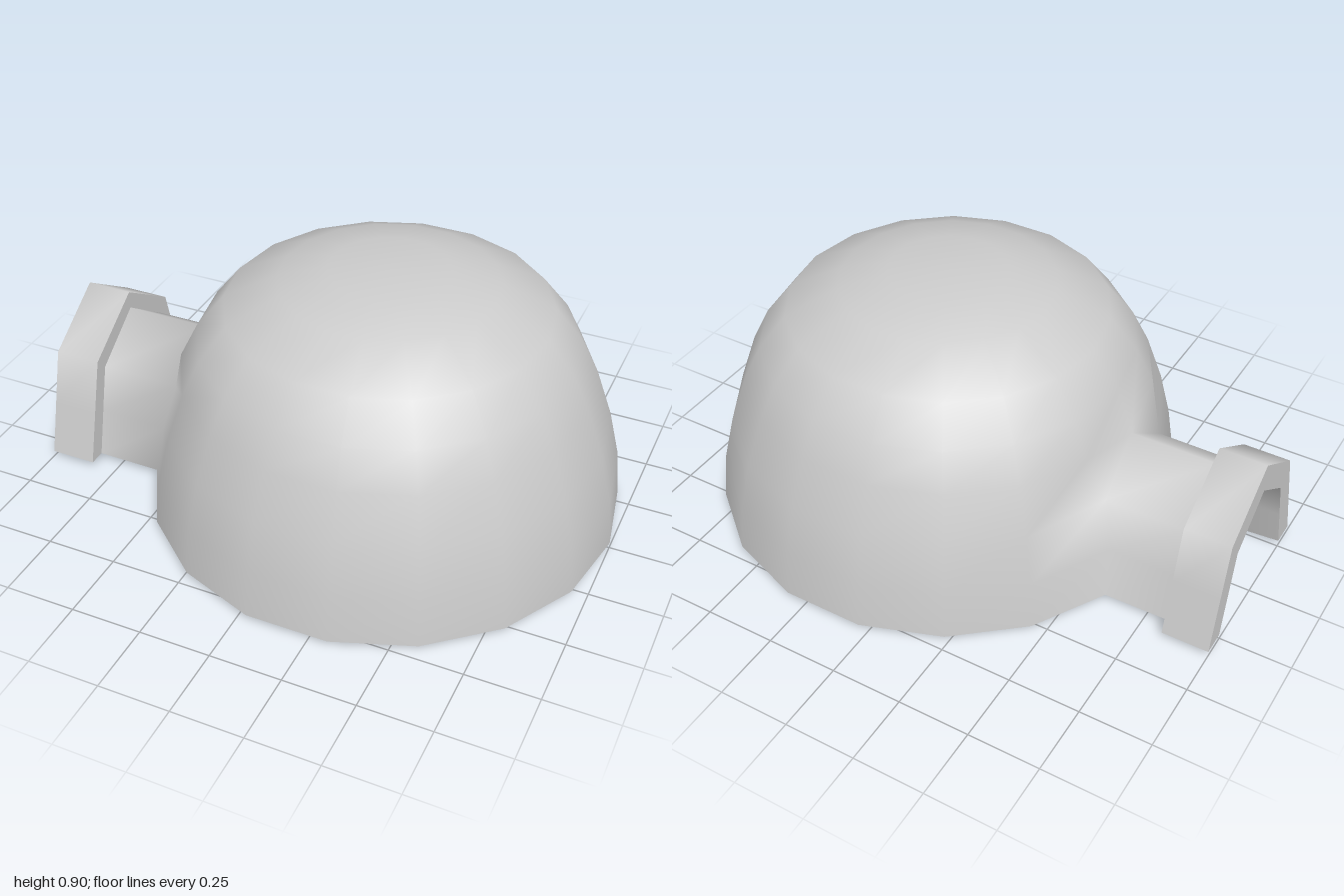
import * as THREE from 'three';
import { mergeGeometries } from 'three/addons/utils/BufferGeometryUtils.js';

const SIDES = 18, CENTRE_X = 0.175, BASE = 0.02;
const material = new THREE.MeshStandardMaterial({ color: 0xcccccc, side: THREE.DoubleSide });

function build(points, index) {
  const g = new THREE.BufferGeometry();
  g.setAttribute('position', new THREE.Float32BufferAttribute(points.flat(), 3));
  g.setIndex(index);
  g.computeVertexNormals();
  return g;
}

// Seven points of a faceted elliptical arch, from the +z foot over the top to the -z foot
function arch(x, halfWidth, height, base = BASE) {
  const z = halfWidth * Math.SQRT1_2, y = height * Math.SQRT1_2;
  const side = [[halfWidth, 0], [(halfWidth + z) / 2, y / 2], [z, y]];
  const right = side.map(([a, b]) => [-a, b]).reverse();
  return [...side, [0, height], ...right].map(([a, b]) => [x, base + b, a]);
}

// Surface between two rows of points
function strip(a, b) {
  const n = a.length, index = [];
  for (let j = 0; j < n - 1; j++) index.push(j, j + 1, n + j, j + 1, n + j + 1, n + j);
  return build([...a, ...b], index);
}

// Dome with an arched doorway towards -x, running smoothly into a passage
function domeWithPassage(profile, doorHeight, endArch) {
  const points = [], index = [];
  const at = (ring, i) => ring * SIDES + (i % SIDES);
  for (const [r, y] of profile) {
    for (let i = 0; i < SIDES; i++) {
      const t = (i / SIDES) * Math.PI * 2;
      points.push([CENTRE_X + r * Math.cos(t), y, r * Math.sin(t)]);
    }
  }

  // Pull the vertices around the doorway onto its arch
  const mid = SIDES / 2;
  const door = [at(0, mid - 1), at(1, mid - 1), at(2, mid - 1), at(3, mid),
    at(2, mid + 1), at(1, mid + 1), at(0, mid + 1)];
  const doorArch = arch(0, points[door[0]][2], doorHeight, profile[0][1]);
  door.forEach((v, j) => {
    points[v][1] = doorArch[j][1];
    points[v][2] = doorArch[j][2];
  });

  // Dome faces, leaving the doorway open
  for (let k = 0; k < profile.length - 1; k++) {
    for (let i = 0; i < SIDES; i++) {
      const a = at(k, i), b = at(k, i + 1), c = at(k + 1, i), d = at(k + 1, i + 1);
      const inDoor = i === mid - 1 || i === mid;
      if (inDoor && k < 2) continue;
      if (inDoor && k === 2) {
        if (i === mid - 1) index.push(a, c, d);
        else index.push(b, c, d);
        continue;
      }
      index.push(a, c, b);
      if (k < profile.length - 2) index.push(b, c, d);
    }
  }

  // Passage faces
  const start = points.length;
  points.push(...endArch);
  for (let j = 0; j < door.length - 1; j++) {
    index.push(door[j], door[j + 1], start + j, door[j + 1], start + j + 1, start + j);
  }
  return build(points, index);
}

export function createModel() {
  const group = new THREE.Group();
  const add = (name, geometry) => {
    const mesh = new THREE.Mesh(geometry, material);
    mesh.name = name;
    group.add(mesh);
  };

  // Radius and height of the dome rings
  const profile = [[0.825, 0.02], [0.807, 0.19], [0.765, 0.36], [0.705, 0.53],
    [0.645, 0.65], [0.55, 0.77], [0.37, 0.86], [0.205, 0.9], [0, 0.9]];
  const backX = -0.835, frontX = -1;

  // Outer and inner walls, each with its part of the entrance passage
  const neckEnd = arch(backX, 0.28, 0.47);
  add('outerDomeAndNeck', domeWithPassage(profile, 0.47, neckEnd));
  const innerProfile = profile.map(([r, y]) => [r * 0.828, (y - BASE) * 0.85]);
  const mouth = arch(frontX, 0.255, 0.43);
  add('innerDomeAndTunnel', domeWithPassage(innerProfile, 0.4, mouth));

  // Raised collar around the entrance
  const rimBack = arch(backX, 0.34, 0.535), rimFront = arch(frontX, 0.34, 0.535);
  const feet = [1, -1].map((s) => strip(
    [[backX, BASE, s * 0.34], [frontX, BASE, s * 0.34]],
    [[backX, BASE, s * 0.255], [frontX, BASE, s * 0.255]]));
  add('entranceCollar', mergeGeometries([
    strip(neckEnd, rimBack), strip(rimBack, rimFront), strip(rimFront, mouth), ...feet]));

  return group;
}
